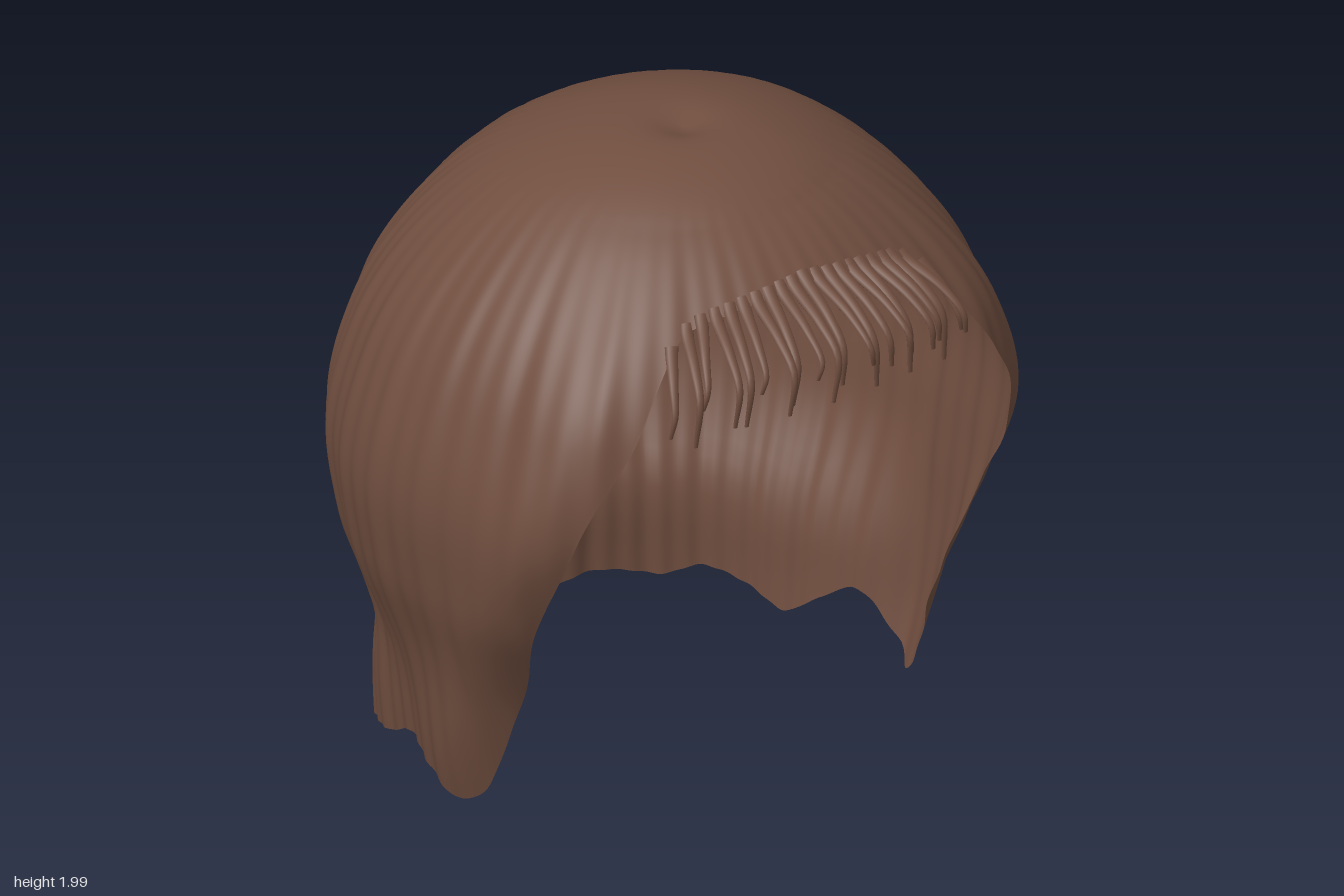
import * as THREE from 'three';

// Smooth interpolation through rows of [key, value...]
function sample(rows, x, c = 1) {
  let i = 0;
  while (i < rows.length - 2 && x > rows[i + 1][0]) i++;
  const slope = (k) => {
    const a = rows[Math.max(k - 1, 0)], b = rows[Math.min(k + 1, rows.length - 1)];
    return (b[c] - a[c]) / (b[0] - a[0]);
  };
  const p = rows[i], n = rows[i + 1], h = n[0] - p[0];
  const t = Math.min(Math.max((x - p[0]) / h, 0), 1), t2 = t * t, t3 = t2 * t;
  return p[c] * (2 * t3 - 3 * t2 + 1) + n[c] * (3 * t2 - 2 * t3)
    + slope(i) * h * (t3 - 2 * t2 + t) + slope(i + 1) * h * (t3 - t2);
}

// Depth below the crown is stored as q, which keeps the dome round at its top
const toQ = (y) => Math.sqrt((2 - y) / 2);
const byDepth = (rows) => rows.map(([y, ...r]) => [toQ(y), ...r]);

// Height, half width, front reach, back reach
const profile = byDepth([
  [2, 0, 0, 0], [1.98, 0.21, 0.21, 0.2], [1.9, 0.44, 0.45, 0.4], [1.8, 0.59, 0.6, 0.55],
  [1.6, 0.78, 0.78, 0.715], [1.4, 0.885, 0.89, 0.82], [1.1, 0.955, 0.92, 0.89],
  [0.8, 0.92, 0.77, 0.85], [0.6, 0.875, 0.61, 0.765], [0.45, 0.85, 0.49, 0.695],
  [0.2, 0.815, 0.38, 0.725], [0, 0.77, 0.35, 0.765],
]);

// Fullness of the side locks: height, angle of the fullest point, amount
const fullness = byDepth([[2, 45, 0], [1.75, 45, 0.01], [1.5, 50, 0.035], [1.2, 56, 0.045],
  [0.8, 66, 0.045], [0.4, 77, 0.03], [0, 88, 0]]);

// Lower edge: angle from the front towards +x, height
const opening = [[0, 1.74], [20, 1.71], [33, 1.66], [37.5, 1.56], [42, 1.4], [49, 1.2],
  [54, 1], [59.5, 0.8], [64, 0.6], [70, 0.4], [78, 0.16]];
const hem = [
  ...opening, [85, 0.02], [90, 0.08], [98, 0.2], [107, 0.15], [115, 0.09], [122, 0.13], [134, 0.18],
  [144, 0.15], [155, 0.17], [163, 0.16], [171, 0.11], [177, 0.02],
  [181, 0.01], [188, 0.01], [195, 0.07], [203, 0.06], [209, 0.07], [217, 0.05], [225, 0.07],
  [236, 0.1], [245, 0.13], [254, 0.19], [264, 0.17], [270, 0.14], [275, 0.11],
  ...opening.map(([a, y]) => [360 - a, y]).reverse(),
];

// How far the nape tucks in behind the side locks: angle, depth
const tuck = [[0, 0], [86, 0], [98, 0.075], [115, 0.095], [135, 0.045], [150, 0.02], [166, 0],
  [200, 0], [215, -0.015], [230, -0.04], [242, -0.01], [254, 0.03], [263, 0.02], [272, 0], [360, 0]];

// Point on the hair at an angle (degrees) and depth q
function hairPoint(deg, q) {
  const turn = (deg + 360) % 360, fromFront = Math.min(turn, 360 - turn);
  const a = THREE.MathUtils.degToRad(deg), s = Math.sin(a), c = Math.cos(a);
  const low = THREE.MathUtils.smoothstep(q, 0.76, 0.88);
  const w = sample(profile, q, 1) + low * 0.03 * s + 1e-6;
  const d = sample(profile, q, c > 0 ? 2 : 3) + 1e-6;
  // Combed grooves that fade out at the crown
  const groove = Math.sin(58 * a + 2 * Math.sin(3 * a) + 1.5 * q) * 0.0035
    + Math.sin(31 * a + 1.3 + 2 * q) * 0.003 + Math.sin(17 * a) * 0.002;
  const full = sample(fullness, q, 2) * (1 - 0.2 * Math.sign(s))
    * Math.exp(-(((fromFront - sample(fullness, q, 1)) / 10) ** 2));
  const r = (w * d) / Math.hypot(d * s, w * c) + groove * THREE.MathUtils.smoothstep(q, 0.15, 0.6)
    + full - sample(tuck, turn) * THREE.MathUtils.smoothstep(q, 0.8, 0.93);
  const x = r * s, z = r * c + 0.08 * Math.max(0, 1 - q / 0.25);
  const dent = 0.03 * Math.exp(-(x * x + (z - 0.09) ** 2) / 0.006);
  return new THREE.Vector3(x, 2 - 2 * q * q - dent, z);
}

function hairShell(cols, rows) {
  const pos = [], index = [];
  for (let i = 0; i <= rows; i++) {
    for (let j = 0; j < cols; j++) {
      const deg = (j / cols) * 360;
      pos.push(...hairPoint(deg, (i / rows) * toQ(sample(hem, deg))).toArray());
      if (i === rows) continue;
      const k = (j + 1) % cols, a = i * cols + j, d = i * cols + k;
      if (i > 0) index.push(a, a + cols, d);
      index.push(a + cols, d + cols, d);
    }
  }
  const g = new THREE.BufferGeometry();
  g.setAttribute('position', new THREE.Float32BufferAttribute(pos, 3));
  g.setIndex(index);
  g.computeVertexNormals();
  return g;
}

// Flattened tube narrowing from root to tip
function taperedStrand(points, root, tip) {
  const curve = new THREE.CatmullRomCurve3(points), n = 18, sides = 8;
  const g = new THREE.TubeGeometry(curve, n, 1, sides);
  const p = g.attributes.position, v = new THREE.Vector3();
  for (let i = 0; i <= n; i++) {
    const c = curve.getPointAt(i / n), r = THREE.MathUtils.lerp(root, tip, i / n);
    for (let j = 0; j <= sides; j++) {
      const k = i * (sides + 1) + j;
      v.fromBufferAttribute(p, k).sub(c);
      p.setXYZ(k, c.x + v.x * r, c.y + v.y * r * 0.6, c.z + v.z * r * 0.6);
    }
  }
  g.computeVertexNormals();
  return g;
}

export function createModel() {
  const model = new THREE.Group();
  model.name = 'hair';
  const brown = new THREE.MeshStandardMaterial({ color: 0x704e3f, side: THREE.DoubleSide });
  brown.name = 'brown hair';

  const shell = new THREE.Mesh(hairShell(480, 64), brown);
  shell.name = 'hairShell';
  model.add(shell);

  // Fringe of thin strands leaving the forehead edge and curling down
  const fringe = new THREE.Group();
  fringe.name = 'fringe';
  const count = 21;
  for (let i = 0; i < count; i++) {
    const t = (i / (count - 1)) * 2 - 1, deg = t * 35;
    const edgeY = sample(hem, (deg + 360) % 360);
    const root = hairPoint(deg, toQ(edgeY + 0.03));
    const edge = hairPoint(deg, toQ(edgeY));
    root.y -= 0.012;
    edge.y -= 0.004;
    const wave = Math.sin(i * 2.4);
    const tipX = t * 0.5 + 0.01 * wave;
    const tipZ = 0.865 - 0.14 * t * t + 0.02 * wave;
    const tipY = 1.5 - 0.07 * t * t + 0.05 * Math.sin(i * 4.1);
    const along = (k, y) => new THREE.Vector3(
      THREE.MathUtils.lerp(edge.x, tipX, k), y, THREE.MathUtils.lerp(edge.z, tipZ, k));
    const strand = new THREE.Mesh(taperedStrand([
      root, edge, along(0.6, edge.y - 0.06), along(1, edge.y - 0.13),
      new THREE.Vector3(tipX + 0.012 * Math.sign(t), tipY, tipZ - 0.005),
    ], 0.023, 0.007), brown);
    strand.name = 'fringeStrand';
    fringe.add(strand);
  }
  model.add(fringe);
  return model;
}
